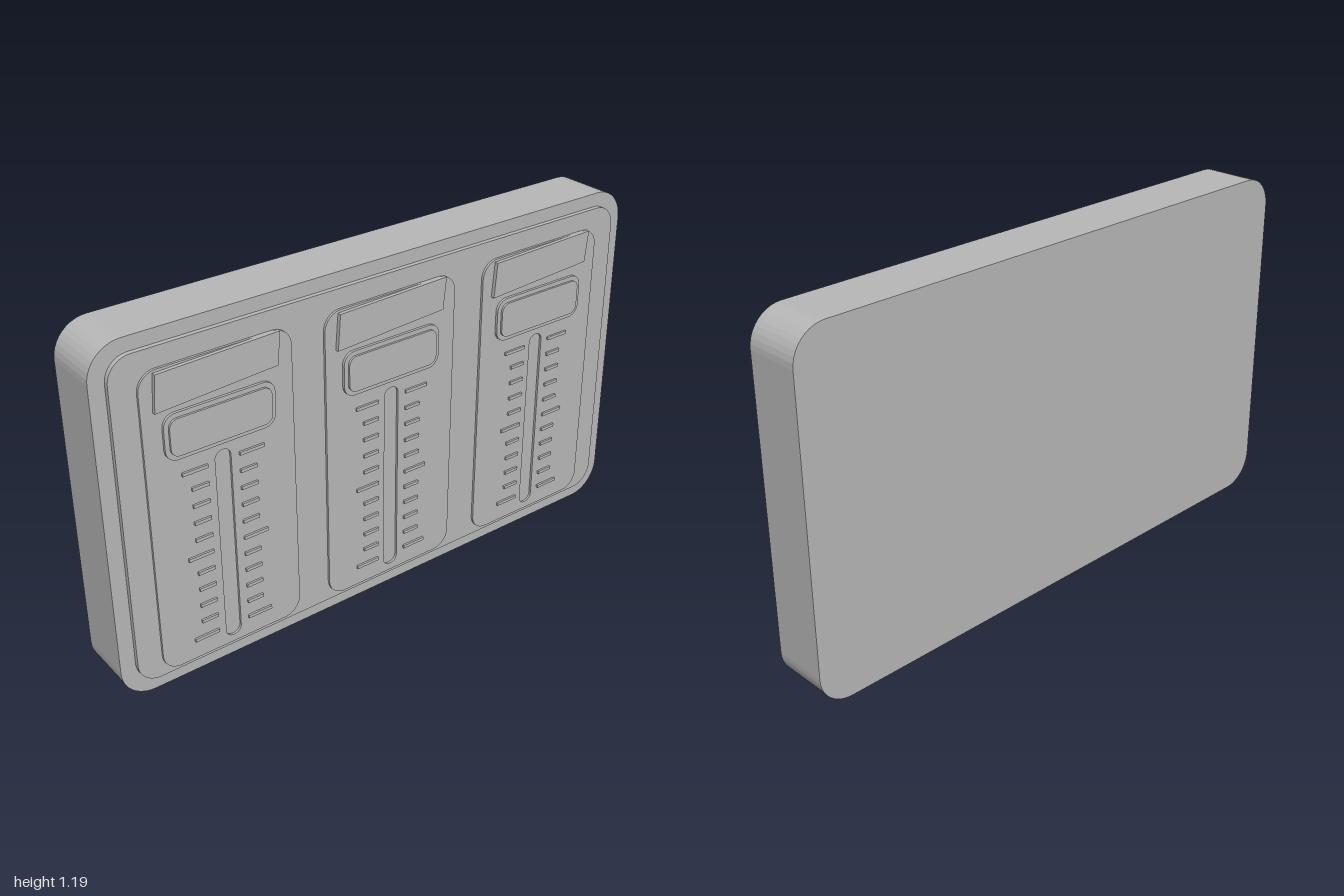
import * as THREE from 'three';

// Rounded rectangle outline centred on (cx, cy)
function roundedRect(cx, cy, w, h, r, Type = THREE.Shape) {
  const s = new Type();
  const x = w / 2 - r, y = h / 2 - r;
  s.absarc(cx + x, cy + y, r, 0, Math.PI / 2);
  s.absarc(cx - x, cy + y, r, Math.PI / 2, Math.PI);
  s.absarc(cx - x, cy - y, r, Math.PI, Math.PI * 1.5);
  s.absarc(cx + x, cy - y, r, Math.PI * 1.5, Math.PI * 2);
  s.closePath();
  return s;
}

export function createModel() {
  const model = new THREE.Group();
  model.name = 'faderPanel';
  const grey = new THREE.MeshStandardMaterial({ color: 0xb8b8b8 });
  grey.name = 'grey plastic';

  // Flat plate from a shape, between two depths
  function plate(name, shape, z0, z1, parent, segments = 5) {
    const geo = new THREE.ExtrudeGeometry(shape, {
      depth: z1 - z0, bevelEnabled: false, curveSegments: segments,
    });
    geo.translate(0, 0, z0);
    const mesh = new THREE.Mesh(geo, grey);
    mesh.name = name;
    parent.add(mesh);
    return mesh;
  }

  // Case and raised front panel
  plate('case', roundedRect(0, 0.595, 2, 1.19, 0.11), -0.115, 0.076, model);
  plate('frontPanel', roundedRect(0, 0.597, 1.9, 1.095, 0.075), 0.076, 0.092, model);

  // Three identical channel strips
  [-0.618, 0, 0.618].forEach((x, i) => {
    const channel = new THREE.Group();
    channel.name = `channel${i + 1}`;
    channel.position.x = x;
    model.add(channel);

    // Backing plate with the slider slot cut through
    const backing = roundedRect(0, 0.573, 0.5, 1.016, 0.06);
    backing.holes.push(roundedRect(0, 0.425, 0.054, 0.67, 0.026, THREE.Path));
    plate('backingPlate', backing, 0.092, 0.1, channel);

    // Slightly crooked label strip
    const label = new THREE.Shape([
      [-0.212, 0.954], [0.193, 0.976], [0.204, 1.083], [-0.202, 1.072],
    ].map(([px, py]) => new THREE.Vector2(px, py)));
    plate('labelStrip', label, 0.1, 0.113, channel);

    // Stepped display window
    plate('displayFrame', roundedRect(-0.003, 0.86, 0.37, 0.15, 0.04), 0.1, 0.109, channel);
    plate('displayFace', roundedRect(-0.003, 0.86, 0.34, 0.12, 0.028), 0.109, 0.116, channel);

    // Scale marks, longer at both ends and the middle
    for (let k = 0; k < 11; k++) {
      const length = k % 5 === 0 ? 0.085 : 0.057;
      for (const side of [-1, 1]) {
        const mark = new THREE.Mesh(new THREE.BoxGeometry(length, 0.011, 0.008), grey);
        mark.name = 'scaleMark';
        mark.position.set(side * (0.054 + length / 2), 0.135 + k * 0.0593, 0.103);
        channel.add(mark);
      }
    }
  });

  return model;
}
